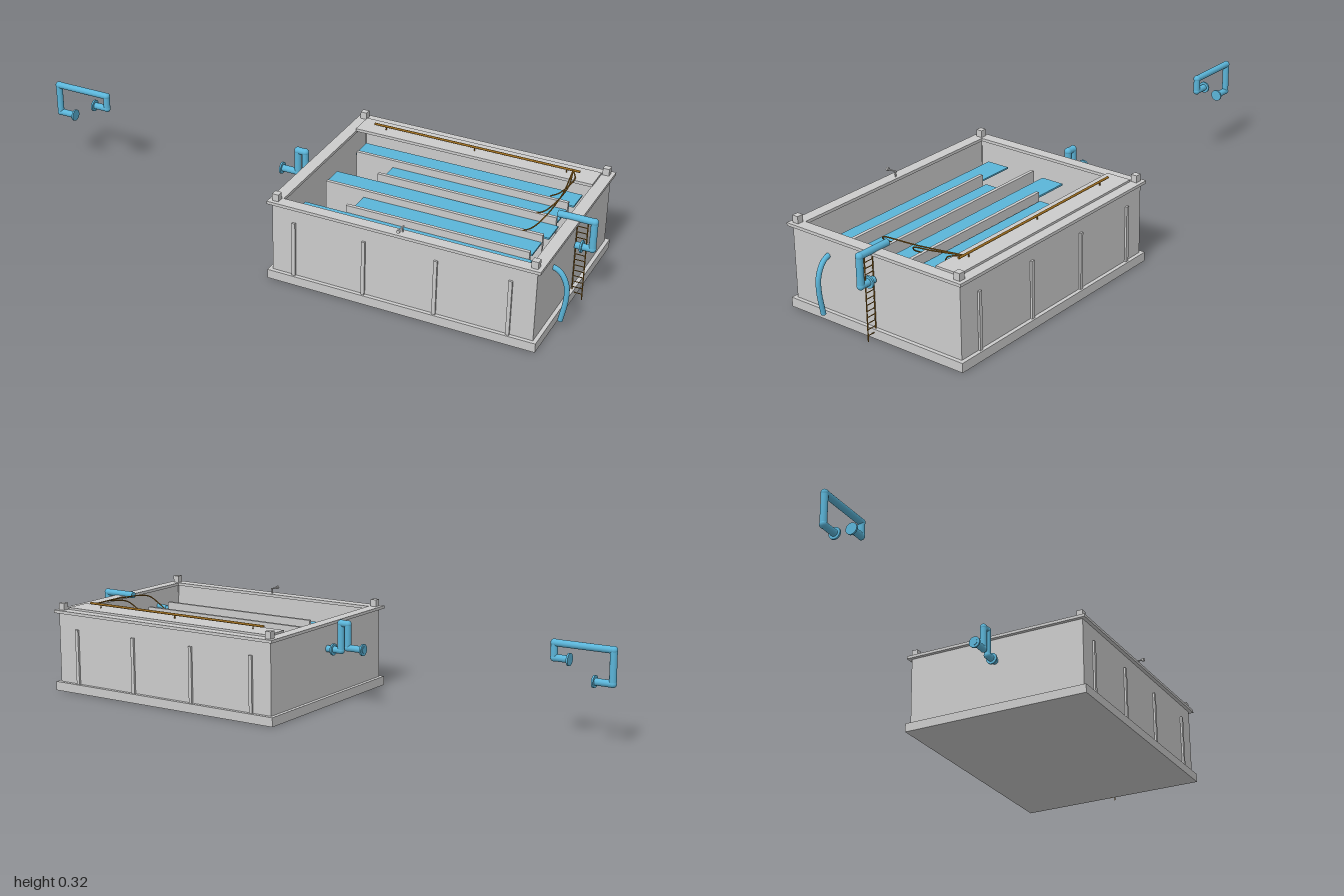
import * as THREE from 'three';

const grey = new THREE.MeshStandardMaterial({ color: 0xcccccc });
const blue = new THREE.MeshStandardMaterial({ color: 0x5bb5d9 });
const brown = new THREE.MeshStandardMaterial({ color: 0x9a6b1e });
const V = (x, y, z) => new THREE.Vector3(x, y, z);
const PIPE_Z = -0.006, PIPE_R = 0.0115;

function add(parent, name, geometry, material) {
  const mesh = new THREE.Mesh(geometry, material);
  mesh.name = name;
  parent.add(mesh);
  return mesh;
}

// Box given by its minimum and maximum on each axis
function box(parent, name, [x0, x1], [y0, y1], [z0, z1], material = grey) {
  const mesh = add(parent, name, new THREE.BoxGeometry(x1 - x0, y1 - y0, z1 - z0), material);
  mesh.position.set((x0 + x1) / 2, (y0 + y1) / 2, (z0 + z1) / 2);
  return mesh;
}

// Cylinder between two points
function rod(parent, name, a, b, radius, material, sides = 16) {
  const dir = b.clone().sub(a);
  const mesh = add(parent, name, new THREE.CylinderGeometry(radius, radius, dir.length(), sides), material);
  mesh.position.copy(a).add(b).multiplyScalar(0.5);
  mesh.quaternion.setFromUnitVectors(V(0, 1, 0), dir.normalize());
  return mesh;
}

// Square-bent pipe in the x-y plane with ball elbows and end flanges
function pipeRun(parent, name, path, flanges) {
  const group = new THREE.Group();
  group.name = name;
  parent.add(group);
  const pts = path.map(([x, y]) => V(x, y, PIPE_Z));
  pts.forEach((p, i) => {
    if (i > 0) rod(group, 'pipeSection', pts[i - 1], p, PIPE_R, blue);
    if (i > 0 && i < pts.length - 1) {
      add(group, 'elbow', new THREE.SphereGeometry(PIPE_R * 1.08, 16, 12), blue).position.copy(p);
    }
  });
  for (const [x, y] of flanges) {
    rod(group, 'flange', V(x - 0.003, y, PIPE_Z), V(x + 0.003, y, PIPE_Z), 0.02, blue, 20);
  }
}

// Rectangular frame extruded upward
function frame(parent, name, [x0, x1], [z0, z1], [y0, y1], tx, tz) {
  const rect = (C, a, b, c, d) => new C([[a, c], [b, c], [b, d], [a, d]].map(p => new THREE.Vector2(...p)));
  const shape = rect(THREE.Shape, x0, x1, -z1, -z0);
  shape.holes.push(rect(THREE.Path, x0 + tx, x1 - tx, -z1 + tz, -z0 - tz));
  const geometry = new THREE.ExtrudeGeometry(shape, { depth: y1 - y0, bevelEnabled: false });
  geometry.rotateX(-Math.PI / 2).translate(0, y0, 0);
  return add(parent, name, geometry, grey);
}

export function createModel() {
  const model = new THREE.Group();
  model.name = 'treatmentTank';

  // Tank shell: slab, walls, rim
  box(model, 'baseSlab', [0.027, 0.939], [0, 0.031], [-0.347, 0.335]);
  frame(model, 'tankWalls', [0.04, 0.926], [-0.334, 0.322], [0.03, 0.275], 0.02, 0.02);
  frame(model, 'rim', [0.027, 0.939], [-0.347, 0.335], [0.273, 0.283], 0.04, 0.04);

  // Corner posts rising above the rim
  for (const x of [0.04, 0.904]) {
    for (const z of [-0.334, 0.3]) box(model, 'cornerPost', [x, x + 0.022], [0.03, 0.307], [z, z + 0.022]);
  }

  // Wall ribs, front and back
  for (const x of [0.117, 0.36, 0.602, 0.845]) {
    box(model, 'frontRib', [x - 0.006, x + 0.006], [0.03, 0.222], [0.31, 0.329]);
    box(model, 'backRib', [x - 0.006, x + 0.006], [0.03, 0.222], [-0.341, -0.322]);
  }

  // Staggered baffles with water lanes between them
  [-0.17, -0.064, 0.056, 0.168].forEach((z, i) => {
    box(model, 'baffle', [i % 2 ? 0.225 : 0.098, 0.845], [0.03, 0.238], [z - 0.006, z + 0.006]);
  });
  [-0.236, -0.121, -0.013, 0.101, 0.215].forEach((z, i) => {
    const ends = i % 2 ? [0.233, 0.843] : [0.08, 0.855];
    box(model, 'waterLane', ends, [0.207, 0.213], [z - 0.041, z + 0.041], blue);
  });

  // Walkway along the back with the air header above it
  box(model, 'walkway', [0.065, 0.901], [0.28, 0.29], [-0.312, -0.223]);
  rod(model, 'airHeader', V(0.117, 0.303, -0.262), V(0.845, 0.303, -0.262), 0.004, brown, 10);
  for (const x of [0.16, 0.48, 0.8]) {
    rod(model, 'headerSupport', V(x, 0.288, -0.262), V(x, 0.303, -0.262), 0.002, brown, 8);
  }

  // Air lines fanning out from the header to the lanes
  for (const z of [-0.184, -0.06, 0.06]) {
    const mid = (z - 0.262) / 2;
    const curve = new THREE.CatmullRomCurve3([
      V(0.822, 0.303, -0.262), V(0.842, 0.296, mid), V(0.832, 0.28, z - 0.02),
      V(0.808, 0.255, z), V(0.778, 0.236, z)]);
    add(model, 'airLine', new THREE.TubeGeometry(curve, 28, 0.0022, 8), brown);
  }

  // Outlet pipe over the right wall, inlet pipe at the left wall, and the detached pipe
  pipeRun(model, 'outletPipe',
    [[0.867, 0.288], [0.985, 0.288], [0.985, 0.192], [0.93, 0.192]], [[0.951, 0.192]]);
  pipeRun(model, 'inletPipe',
    [[-0.105, 0.204], [-0.041, 0.204], [-0.041, 0.284], [-0.014, 0.284], [-0.014, 0.192], [0.042, 0.192]],
    [[-0.1, 0.204], [0.016, 0.192]]);
  pipeRun(model, 'detachedPipe',
    [[-0.925, 0.206], [-0.988, 0.206], [-0.988, 0.311], [-0.791, 0.311], [-0.791, 0.264], [-0.845, 0.264]],
    [[-0.928, 0.206], [-0.842, 0.264]]);

  // Drain hose hanging outside the right wall
  const hose = new THREE.CatmullRomCurve3([
    V(0.865, 0.213, 0.18), V(0.925, 0.213, 0.18), V(0.95, 0.2, 0.18),
    V(0.971, 0.16, 0.18), V(0.973, 0.11, 0.18), V(0.96, 0.031, 0.18)]);
  add(model, 'drainHose', new THREE.TubeGeometry(hose, 40, 0.0085, 12),
    new THREE.MeshStandardMaterial({ color: 0x5bb5d9, side: THREE.DoubleSide }));

  // Ladder standing edge-on beside the right wall
  for (const x of [0.931, 0.965]) {
    rod(model, 'ladderRail', V(x, 0, PIPE_Z), V(x, 0.28, PIPE_Z), 0.002, brown, 8);
  }
  for (let y = 0.02; y < 0.28; y += 0.02) {
    rod(model, 'ladderRung', V(0.931, y, PIPE_Z), V(0.965, y, PIPE_Z), 0.0015, brown, 6);
  }

  // Small sampling valve above the front rim
  rod(model, 'valveStem', V(0.483, 0.301, 0.303), V(0.483, 0.301, 0.343), 0.0025, grey, 10);
  rod(model, 'valveHandle', V(0.483, 0.301, 0.337), V(0.483, 0.301, 0.344), 0.006, grey, 12);
  rod(model, 'valvePost', V(0.483, 0.28, 0.308), V(0.483, 0.302, 0.308), 0.0025, grey, 10);

  return model;
}
